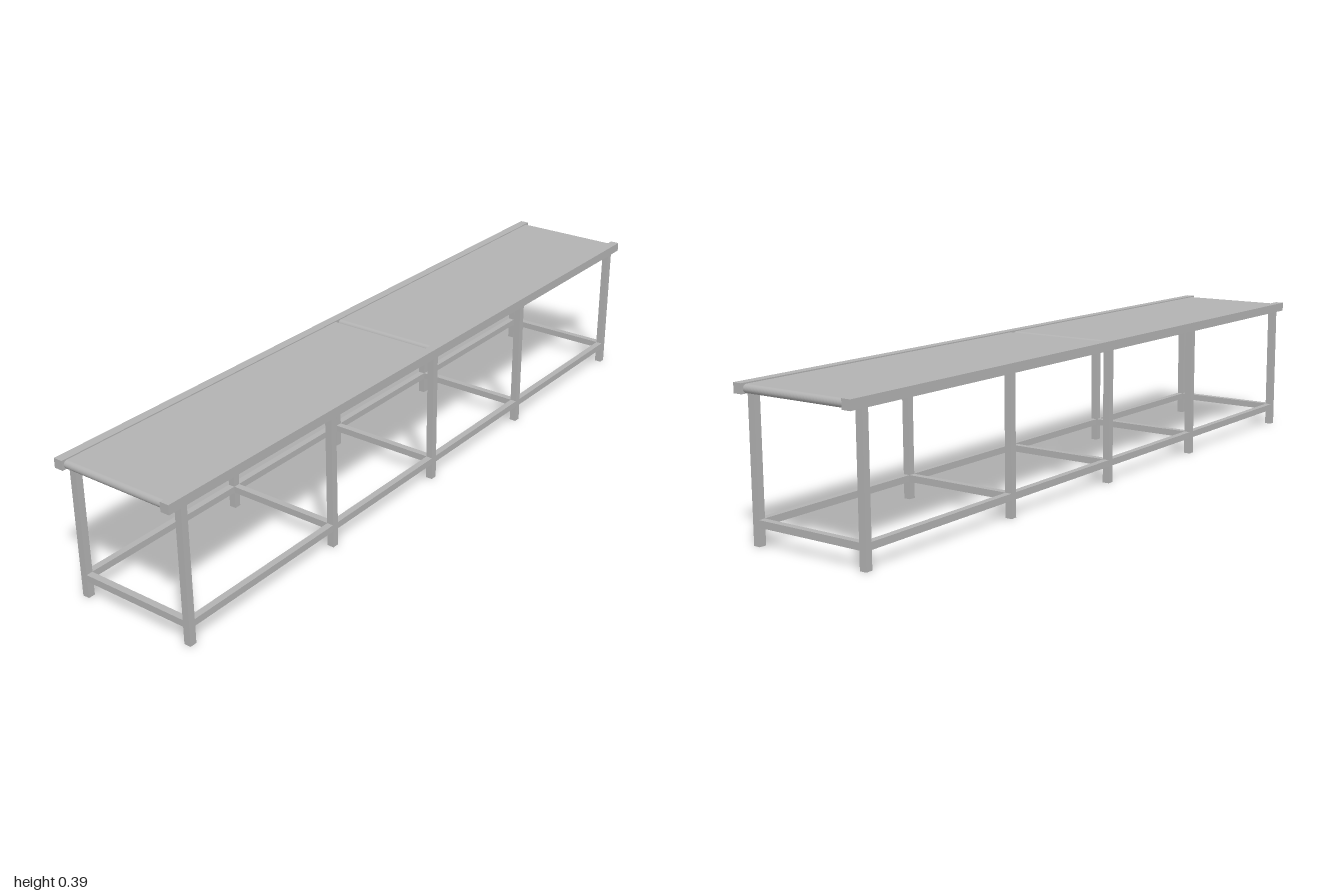
import * as THREE from 'three';

export function createModel() {
  const model = new THREE.Group();
  model.name = 'conveyorTable';
  const grey = new THREE.MeshStandardMaterial({ color: 0xb2b2b2 });
  grey.name = 'steelGrey';

  const add = (name, geometry, x, y, z, parent = model) => {
    const mesh = new THREE.Mesh(geometry, grey);
    mesh.name = name;
    mesh.position.set(x, y, z);
    parent.add(mesh);
  };
  const box = (name, w, h, d, x, y, z, parent) =>
    add(name, new THREE.BoxGeometry(w, h, d), x, y, z, parent);

  const tube = 0.019;    // square tube width of the frame
  const legZ = 0.1635;
  const legX = 0.952;
  const legTop = 0.361;
  const barY = 0.055;

  // Side rails and lower long stretchers, front and back
  for (const side of [1, -1]) {
    box('sideRail', 2, 0.025, 0.025, 0, 0.3735, side * legZ);
    box('longStretcher', legX * 2, tube - 0.001, tube - 0.001, 0, barY, side * legZ);
  }

  // Five leg frames, each two legs and a cross bar
  for (const x of [-legX, -0.433, 0, 0.433, legX]) {
    const frame = new THREE.Group();
    frame.name = 'legFrame';
    model.add(frame);
    for (const side of [1, -1]) {
      box('leg', tube, legTop, tube, x, legTop / 2, side * legZ, frame);
    }
    box('crossBar', tube - 0.001, tube - 0.001, legZ * 2 - tube, x, barY, 0, frame);
  }

  // Two belts: flat loops with half-round ends, a narrow gap between them
  const r = 0.0105, beltWidth = 0.304, beltLength = 0.993;
  const half = beltLength / 2 - r;
  const loop = new THREE.Shape();
  loop.moveTo(-half, -r);
  loop.lineTo(half, -r);
  loop.absarc(half, 0, r, -Math.PI / 2, Math.PI / 2, false);
  loop.lineTo(-half, r);
  loop.absarc(-half, 0, r, Math.PI / 2, Math.PI * 1.5, false);
  const beltGeometry = new THREE.ExtrudeGeometry(loop, {
    depth: beltWidth, bevelEnabled: false, curveSegments: 16,
  });
  beltGeometry.translate(0, 0, -beltWidth / 2);
  for (const side of [-1, 1]) {
    add('belt', beltGeometry, side * (0.002 + beltLength / 2), 0.3725, 0);
  }

  return model;
}
